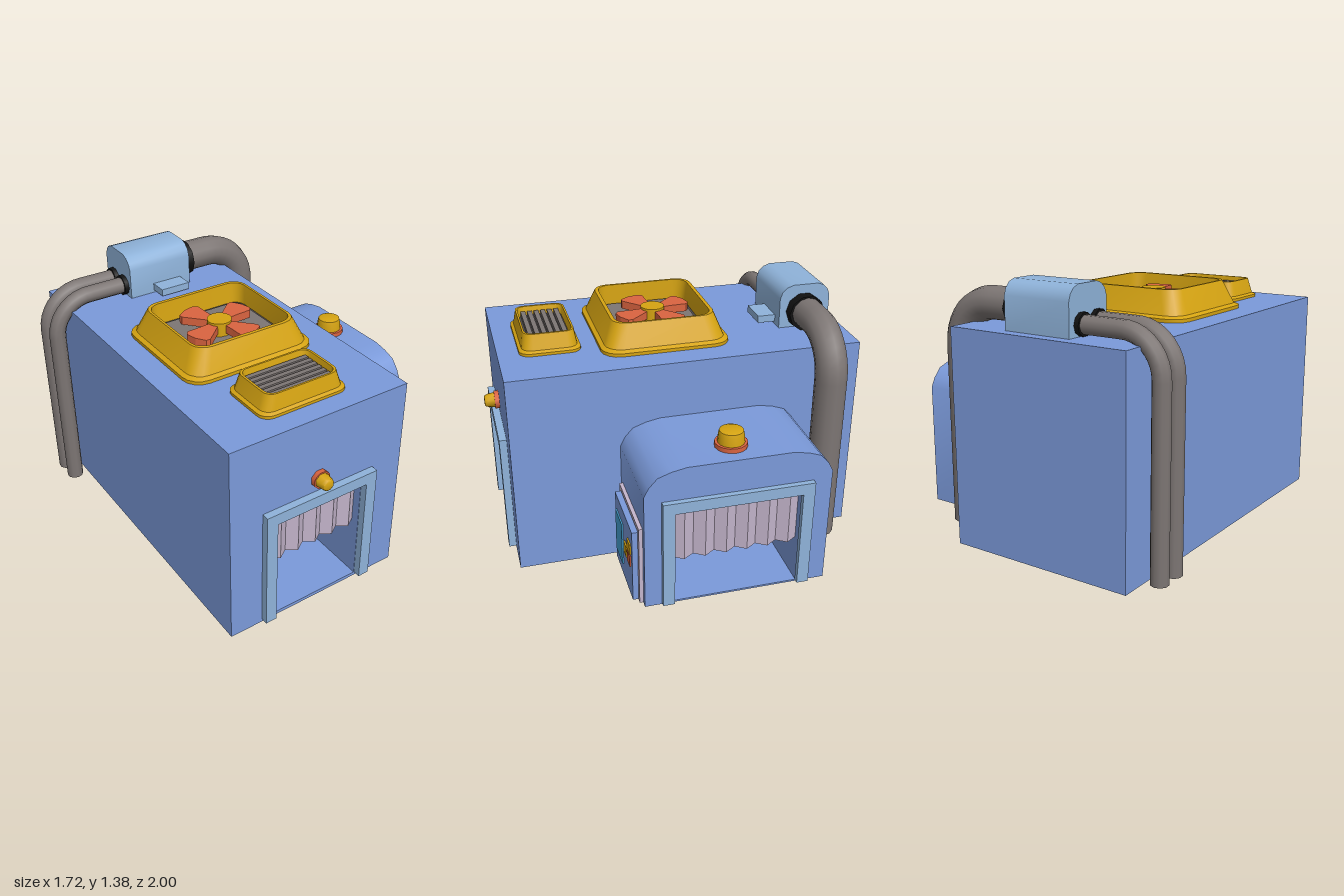
import * as THREE from 'three';
import { toCreasedNormals } from 'three/addons/utils/BufferGeometryUtils.js';

const mat = (name, color, side = THREE.FrontSide) => {
  const m = new THREE.MeshStandardMaterial({ color, side });
  m.name = name;
  return m;
};

export function createModel() {
  const blue = mat('wall blue', 0x7b9ada);
  const pale = mat('pale blue', 0x8fb3da);
  const gold = mat('gold', 0xd6a412);
  const red = mat('orange red', 0xdb6440);
  const lavender = mat('lavender', 0xc5b6cd, THREE.DoubleSide);
  const grey = mat('pipe grey', 0x7d7674);
  const dark = mat('dark grey', 0x4a4747);
  const black = mat('black', 0x121212);
  const cyan = mat('screen cyan', 0x48a5d6);

  const root = new THREE.Group();
  root.name = 'factoryUnit';

  const add = (name, geo, m, x = 0, y = 0, z = 0, parent = root) => {
    const mesh = new THREE.Mesh(geo, m);
    mesh.name = name;
    mesh.position.set(x, y, z);
    parent.add(mesh);
    return mesh;
  };
  // Box given by its minimum and maximum corners
  const box = (name, m, x0, x1, y0, y1, z0, z1, parent) =>
    add(name, new THREE.BoxGeometry(x1 - x0, y1 - y0, z1 - z0), m,
      (x0 + x1) / 2, (y0 + y1) / 2, (z0 + z1) / 2, parent);
  const poly = pts => pts.map(p => new THREE.Vector2(...p));
  const rect = (x0, x1, y0, y1) => poly([[x0, y0], [x1, y0], [x1, y1], [x0, y1]]);
  const extrude = (pts, depth, hole) => {
    const s = new THREE.Shape(pts);
    if (hole) s.holes.push(new THREE.Path(hole));
    return new THREE.ExtrudeGeometry(s, { depth, bevelEnabled: false });
  };
  // Door surround: two posts and a lintel in one outline
  const surround = (x0, x1, y0, y1, w, depth) => extrude(poly([
    [x0, y0], [x0 + w, y0], [x0 + w, y1 - w], [x1 - w, y1 - w],
    [x1 - w, y0], [x1, y0], [x1, y1], [x0, y1]]), depth);
  // Pleated strip curtain
  const curtain = (w, h, n) => {
    const g = new THREE.PlaneGeometry(w, h, n, 1);
    const p = g.attributes.position;
    for (let i = 0; i < p.count; i++) p.setZ(i, (i % (n + 1)) % 2 ? 0.018 : -0.018);
    const flat = g.toNonIndexed();
    flat.computeVertexNormals();
    return flat;
  };
  // Rounded-rectangle loft; each level is [halfX, halfZ, y, cornerRadius]
  const loft = (levels, cap) => {
    const steps = 5, n = steps * 4, pos = [], idx = [];
    for (const [hx, hz, y, r] of levels)
      for (let k = 0; k < 4; k++)
        for (let j = 0; j < steps; j++) {
          const a = (k + j / (steps - 1)) * Math.PI / 2;
          const sx = k === 0 || k === 3 ? 1 : -1, sz = k < 2 ? 1 : -1;
          pos.push(sx * (hx - r) + r * Math.cos(a), y, sz * (hz - r) + r * Math.sin(a));
        }
    for (let l = 0; l < levels.length - 1; l++)
      for (let i = 0; i < n; i++) {
        const a = l * n + i, b = l * n + (i + 1) % n;
        idx.push(a, a + n, b, b, a + n, b + n);
      }
    if (cap) {
      const s = (levels.length - 1) * n, c = pos.length / 3;
      pos.push(0, levels[levels.length - 1][2], 0);
      for (let i = 0; i < n; i++) idx.push(c, s + (i + 1) % n, s + i);
    }
    const g = new THREE.BufferGeometry();
    g.setAttribute('position', new THREE.Float32BufferAttribute(pos, 3));
    g.setIndex(idx);
    return toCreasedNormals(g, 0.5);
  };

  // Main hall: solid rear and a front section with a recessed doorway
  const recess = 0.45;
  box('mainHall', blue, -0.73, 0.31, 0, 1.14, -1, 0.92 - recess);
  add('mainHallFront', extrude(rect(-0.73, 0.31, 0, 1.14), recess, rect(-0.48, 0.06, 0.02, 0.65)),
    blue, 0, 0, 0.92 - recess);
  add('frontDoorFrame', surround(-0.545, 0.125, 0.02, 0.71, 0.063, 0.04), pale, 0, 0, 0.92);
  add('frontCurtain', curtain(0.54, 0.285, 10), lavender, -0.21, 0.507, 0.89);

  // Side annex with rounded roof, open toward +x
  const annexProfile = poly([[-0.34, 0.02], [0.65, 0.02], [0.65, 0.69], [0.625, 0.74], [0.58, 0.79],
    [0.51, 0.815], [0.43, 0.83], [-0.12, 0.83], [-0.2, 0.815], [-0.27, 0.79], [-0.315, 0.74], [-0.34, 0.69]]);
  const annex = add('annex', toCreasedNormals(
    extrude(annexProfile, 0.52, rect(-0.185, 0.49, 0.03, 0.58)), 0.7), blue, 0.31);
  annex.rotation.y = Math.PI / 2;
  const sideFrame = add('sideDoorFrame', surround(-0.25, 0.55, 0.03, 0.65, 0.063, 0.03), pale, 0.83);
  sideFrame.rotation.y = Math.PI / 2;
  const sideCurtain = add('sideCurtain', curtain(0.675, 0.3, 12), lavender, 0.805, 0.43, -0.152);
  sideCurtain.rotation.y = Math.PI / 2;

  // Control panel on the annex front
  const panel = new THREE.Group();
  panel.name = 'controlPanel';
  root.add(panel);
  add('panelFrame', surround(0.35, 0.797, 0.025, 0.485, 0.026, 0.02), lavender, 0, 0, 0.34, panel);
  box('panelBody', blue, 0.376, 0.771, 0.03, 0.452, 0.34, 0.39, panel);
  box('screen', cyan, 0.41, 0.56, 0.11, 0.365, 0.39, 0.398, panel);
  box('buttonLeft', gold, 0.6, 0.662, 0.225, 0.29, 0.39, 0.398, panel);
  box('buttonTop', gold, 0.68, 0.744, 0.3, 0.362, 0.39, 0.398, panel);
  box('buttonRight', red, 0.68, 0.744, 0.225, 0.29, 0.39, 0.398, panel);

  // Warning lamps
  const lamp = (name, r, h, taper, sides) => {
    const g = new THREE.Group();
    g.name = name;
    const b = r * 1.2;
    add('lampBase', new THREE.CylinderGeometry(b, b, 0.025, sides), red, 0, 0.0125, 0, g);
    const profile = poly([[r, 0], [r * (1 + taper) / 2, h * 0.65], [r * taper, h * 0.92], [r * taper * 0.75, h], [0, h]]);
    add('lampDome', toCreasedNormals(new THREE.LatheGeometry(profile, sides), 0.8), gold, 0, 0.025, 0, g);
    root.add(g);
    return g;
  };
  lamp('roofLamp', 0.071, 0.07, 0.88, 16).position.set(0.68, 0.83, -0.15);
  const frontLamp = lamp('frontLamp', 0.042, 0.055, 0.75, 8);
  frontLamp.position.set(-0.215, 0.787, 0.92);
  frontLamp.rotation.set(Math.PI / 2, Math.PI / 8, 0);

  // Large roof fan
  const fan = new THREE.Group();
  fan.name = 'roofFan';
  fan.position.set(-0.21, 1.14, 0.03);
  root.add(fan);
  add('fanHousing', loft([[0.378, 0.352, 0, 0.1], [0.378, 0.352, 0.018, 0.1], [0.355, 0.33, 0.03, 0.09],
    [0.3, 0.282, 0.155, 0.08], [0.287, 0.262, 0.155, 0.07], [0.284, 0.25, 0.03, 0.06]]), gold, 0, 0, 0, fan);
  add('fanRim', loft([[0.289, 0.255, 0.0, 0.06], [0.289, 0.255, 0.04, 0.06]], true), dark, 0, 0, 0, fan);
  add('fanFloor', loft([[0.27, 0.235, 0.03, 0.05], [0.27, 0.235, 0.046, 0.05]], true), grey, 0, 0, 0, fan);
  add('fanHub', new THREE.CylinderGeometry(0.066, 0.066, 0.075, 16), gold, 0, 0.0825, 0, fan);
  const bladeShape = poly([[0.04, -0.022], [0.11, -0.045], [0.185, -0.075], [0.21, -0.06],
    [0.222, 0], [0.212, 0.06], [0.19, 0.07], [0.11, 0.045], [0.04, 0.022]]);
  const bladeGeo = extrude(bladeShape, 0.045).rotateX(-Math.PI / 2);
  for (let k = 0; k < 4; k++)
    add('fanBlade', bladeGeo, red, 0, 0.062, 0, fan).rotation.y = 0.43 + k * Math.PI / 2;

  // Small slatted vent
  const vent = new THREE.Group();
  vent.name = 'roofVent';
  vent.position.set(-0.21, 1.14, 0.64);
  root.add(vent);
  add('ventHousing', loft([[0.252, 0.166, 0, 0.06], [0.252, 0.166, 0.015, 0.06], [0.235, 0.15, 0.025, 0.055],
    [0.21, 0.136, 0.108, 0.05], [0.198, 0.126, 0.108, 0.045], [0.188, 0.116, 0.05, 0.04]]), gold, 0, 0, 0, vent);
  add('ventFloor', loft([[0.19, 0.118, 0, 0.04], [0.19, 0.118, 0.06, 0.04]], true), dark, 0, 0, 0, vent);
  for (let i = 0; i < 6; i++) {
    const z = (i - 2.5) * 0.037;
    box('ventSlat', grey, -0.183, 0.183, 0.06, 0.085, z - 0.013, z + 0.013, vent);
  }

  // Rear roof unit with rounded top
  const unitProfile = poly([[0.645, 1.14], [0.937, 1.14], [0.937, 1.31], [0.925, 1.345], [0.9, 1.372],
    [0.865, 1.385], [0.72, 1.385], [0.685, 1.372], [0.657, 1.345], [0.645, 1.31]]);
  const unit = add('roofUnit', toCreasedNormals(extrude(unitProfile, 0.385), 0.7), pale, -0.375);
  unit.rotation.y = Math.PI / 2;
  box('roofUnitLug', pale, -0.23, -0.055, 1.155, 1.195, -0.65, -0.545);

  // Bent pipes from the roof unit down to the ground
  const pipe = (name, x0, x1, y, z, r, bend, yEnd, sides) => {
    const s = Math.sign(x1 - x0), k = 0.45 * bend;
    const v = (px, py) => new THREE.Vector3(px, py, z);
    const path = new THREE.CurvePath();
    path.add(new THREE.LineCurve3(v(x0, y), v(x1 - s * bend, y)));
    path.add(new THREE.CubicBezierCurve3(v(x1 - s * bend, y), v(x1 - s * k, y), v(x1, y - k), v(x1, y - bend)));
    path.add(new THREE.LineCurve3(v(x1, y - bend), v(x1, yEnd)));
    add(name, new THREE.TubeGeometry(path, 40, r, sides), grey);
    add(name + 'End', new THREE.CircleGeometry(r, sides), grey, x1, yEnd, z).rotation.x = Math.PI / 2;
  };
  const collar = (name, r, x0, x1, y, z) =>
    add(name, new THREE.CylinderGeometry(r, r, x1 - x0, 10), black, (x0 + x1) / 2, y, z).rotation.z = Math.PI / 2;
  pipe('largePipe', 0, 0.435, 1.24, -0.785, 0.087, 0.23, 0.045, 12);
  collar('largePipeCollar', 0.102, 0.01, 0.07, 1.235, -0.785);
  for (const z of [-0.845, -0.725]) {
    pipe('smallPipe', -0.36, -0.815, 1.198, z, 0.047, 0.21, 0.02, 10);
    collar('smallPipeCollar', 0.058, -0.4, -0.37, 1.198, z);
  }
  return root;
}
